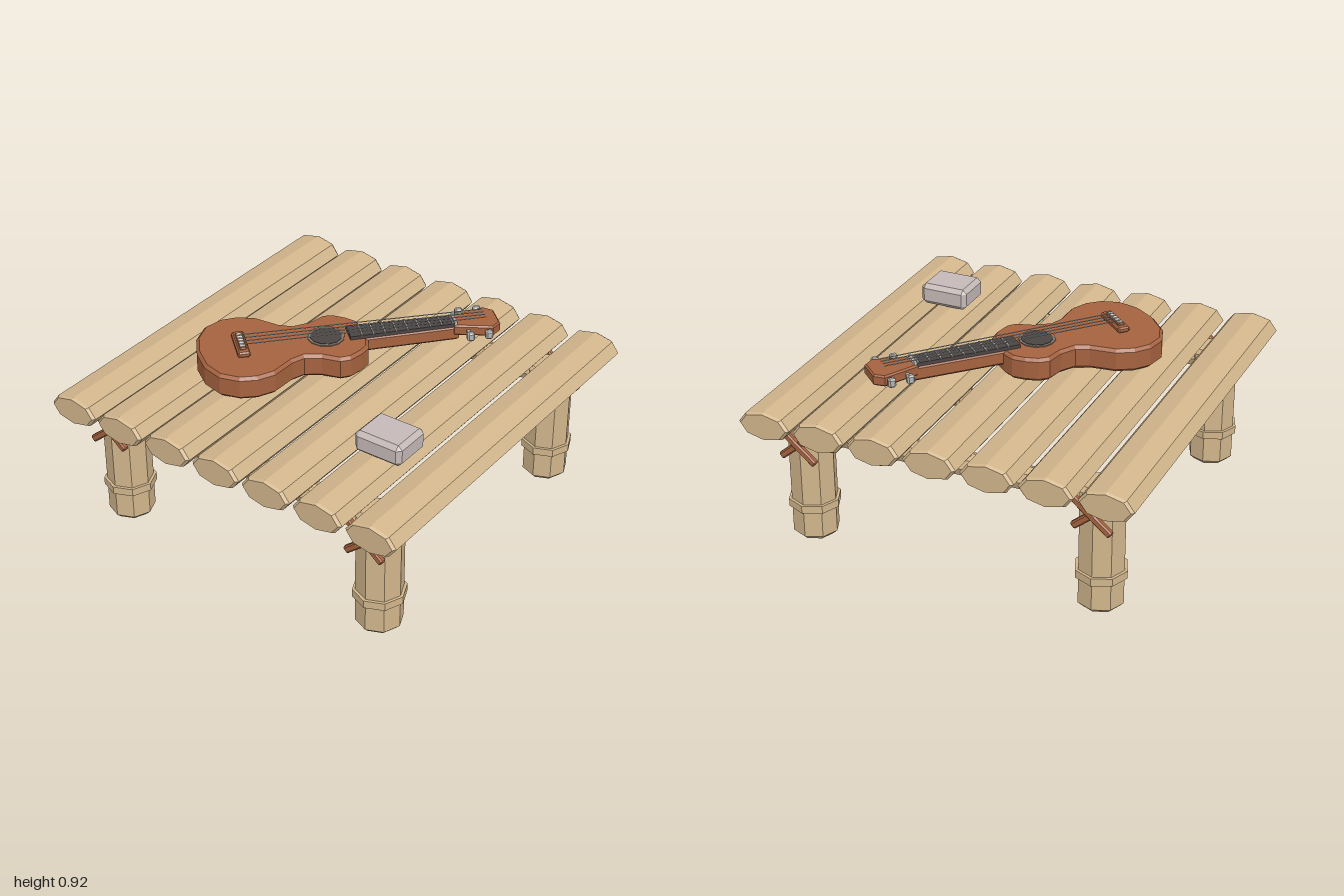
import * as THREE from 'three';
import { ConvexGeometry } from 'three/addons/geometries/ConvexGeometry.js';

const mat = (name, color) => {
  const m = new THREE.MeshStandardMaterial({ color, flatShading: true });
  m.name = name;
  return m;
};

export function createModel() {
  const tan = mat('tan wood', 0xd2b68c);
  const brown = mat('red brown wood', 0xa5623f);
  const dark = mat('dark fretboard', 0x4b4544);
  const ringTone = mat('rosette', 0x85786a);
  const metal = mat('metal', 0xb4b4b2);
  const pale = mat('pale inlay', 0xdcd8d2);
  const stone = mat('pale stone', 0xc5bab8);

  const model = new THREE.Group();
  const add = (parent, name, geo, material, x = 0, y = 0, z = 0) => {
    const mesh = new THREE.Mesh(geo, material);
    mesh.name = name;
    mesh.position.set(x, y, z);
    parent.add(mesh);
    return mesh;
  };

  // Eight-sided pole along y with chamfered ends
  const pole = (r, length, chamfer) => {
    const h = length / 2;
    const profile = [[0, -h], [r - chamfer, -h], [r, -h + chamfer], [r, h - chamfer], [r - chamfer, h], [0, h]];
    return new THREE.LatheGeometry(profile.map(([x, y]) => new THREE.Vector2(x, y)), 8);
  };

  // Box with all edges and corners cut
  const cutBox = (w, h, d, c) => {
    const points = [];
    for (const sx of [-1, 1]) for (const sy of [-1, 1]) for (const sz of [-1, 1]) {
      const [x, y, z] = [w / 2, h / 2, d / 2];
      points.push(
        new THREE.Vector3(sx * x, sy * (y - c), sz * (z - c)),
        new THREE.Vector3(sx * (x - c), sy * y, sz * (z - c)),
        new THREE.Vector3(sx * (x - c), sy * (y - c), sz * z));
    }
    return new ConvexGeometry(points);
  };

  // Table top of flattened logs
  const logGeo = pole(0.135, 2, 0.014).rotateX(Math.PI / 2).scale(1, 0.55, 1);
  for (let i = 0; i < 7; i++) add(model, 'topLog', logGeo, tan, (i - 3) * 0.2883, 0.672, 0);

  // Legs, each with a ring and a crossed rope lashing
  for (const sx of [-1, 1]) for (const sz of [-1, 1]) {
    const leg = new THREE.Group();
    leg.name = 'leg';
    leg.position.set(sx * 0.755, 0, sz * 0.75);
    model.add(leg);
    add(leg, 'legPost', pole(0.115, 0.64, 0.022), tan, 0, 0.32, 0);
    add(leg, 'legRing', new THREE.CylinderGeometry(0.13, 0.13, 0.04, 8), tan, 0, 0.182, 0);
    for (const s of [-1, 1]) {
      const rope = add(leg, 'ropeLashing', cutBox(0.25, 0.036, 0.032, 0.007), brown, 0, 0.54, sz * (0.127 + s * 0.006));
      rope.rotation.z = s * 0.7;
    }
  }

  // Rails between the legs
  const railX = pole(0.06, 1.42, 0.01).rotateZ(Math.PI / 2);
  const railZ = pole(0.06, 1.42, 0.01).rotateX(Math.PI / 2);
  for (const s of [-1, 1]) {
    add(model, 'crossRail', railX, tan, 0, 0.572, s * 0.75);
    add(model, 'sideRail', railZ, tan, s * 0.755, 0.572, 0);
  }

  // Stone block on the table
  add(model, 'stoneBlock', cutBox(0.256, 0.112, 0.215, 0.022), stone, 0.608, 0.808, 0.472);

  // Small guitar lying on the table; its neck runs along local -z
  const guitar = new THREE.Group();
  guitar.name = 'guitar';
  guitar.position.set(-0.087, 0, 0.008);
  guitar.rotation.y = -0.733;
  model.add(guitar);

  // Mirrored slab from [along, halfWidth] pairs, between heights y0 and y1
  const slab = (half, y0, y1, bevel) => {
    const right = half.map(([a, s]) => new THREE.Vector2(s, a));
    const left = half.filter(([, s]) => s > 0).map(([a, s]) => new THREE.Vector2(-s, a)).reverse();
    const geo = new THREE.ExtrudeGeometry(new THREE.Shape([...right, ...left]), {
      depth: y1 - y0 - 2 * bevel, bevelEnabled: bevel > 0, bevelThickness: bevel,
      bevelSize: bevel, bevelOffset: -bevel, bevelSegments: 1, steps: 1,
    });
    return geo.rotateX(-Math.PI / 2).translate(0, y0 + bevel, 0);
  };

  add(guitar, 'guitarBody', slab([
    [0.2, 0.06], [0.185, 0.125], [0.14, 0.17], [0.08, 0.208], [0.025, 0.213], [-0.055, 0.165], [-0.138, 0.148],
    [-0.2, 0.175], [-0.3, 0.262], [-0.39, 0.29], [-0.478, 0.283], [-0.565, 0.23], [-0.62, 0.13], [-0.637, 0],
  ], 0.755, 0.875, 0.015), brown);
  add(guitar, 'neck', slab([[0.66, 0.045], [0.15, 0.055]], 0.798, 0.876, 0.012), brown);
  add(guitar, 'headstock', slab([[0.865, 0.062], [0.82, 0.1], [0.7, 0.068], [0.635, 0.05]], 0.83, 0.886, 0.008), brown);
  add(guitar, 'fretboard', slab([[0.64, 0.043], [0.11, 0.055]], 0.874, 0.893, 0), dark);

  // Sound hole
  add(guitar, 'soundHoleRing', new THREE.CylinderGeometry(0.092, 0.092, 0.007, 12), ringTone, 0, 0.877, 0);
  add(guitar, 'soundHole', new THREE.CylinderGeometry(0.079, 0.079, 0.008, 12), dark, 0, 0.879, 0);

  // Frets and nut
  for (let i = 0; i < 9; i++) {
    const a = 0.17 + i * 0.0575;
    add(guitar, 'fret', new THREE.BoxGeometry(0.106 - (a - 0.11) * 0.045, 0.006, 0.008), metal, 0, 0.895, -a);
  }
  add(guitar, 'nut', new THREE.BoxGeometry(0.086, 0.018, 0.014), pale, 0, 0.892, -0.645);

  // Bridge with saddle pegs
  add(guitar, 'bridge', cutBox(0.21, 0.03, 0.062, 0.008), brown, 0, 0.888, 0.421);
  add(guitar, 'saddle', cutBox(0.15, 0.016, 0.034, 0.005), brown, 0, 0.904, 0.421);
  for (let i = 0; i < 5; i++) {
    add(guitar, 'saddlePeg', new THREE.BoxGeometry(0.016, 0.014, 0.026), pale, (i - 2) * 0.027, 0.908, 0.421);
  }

  // Strings
  for (let i = 0; i < 4; i++) {
    const k = i - 1.5;
    const path = new THREE.LineCurve3(
      new THREE.Vector3(k * 0.03, 0.915, 0.42), new THREE.Vector3(k * 0.026, 0.909, -0.8));
    add(guitar, 'string', new THREE.TubeGeometry(path, 1, 0.003, 4), metal);
  }

  // Tuning pegs
  for (const s of [-1, 1]) for (const a of [0.7, 0.793]) {
    add(guitar, 'tunerShaft', new THREE.BoxGeometry(0.06, 0.016, 0.016), metal, s * 0.085, 0.858, -a);
    add(guitar, 'tunerKnob', cutBox(0.032, 0.046, 0.038, 0.008), metal, s * 0.118, 0.858, -a);
  }

  return model;
}
